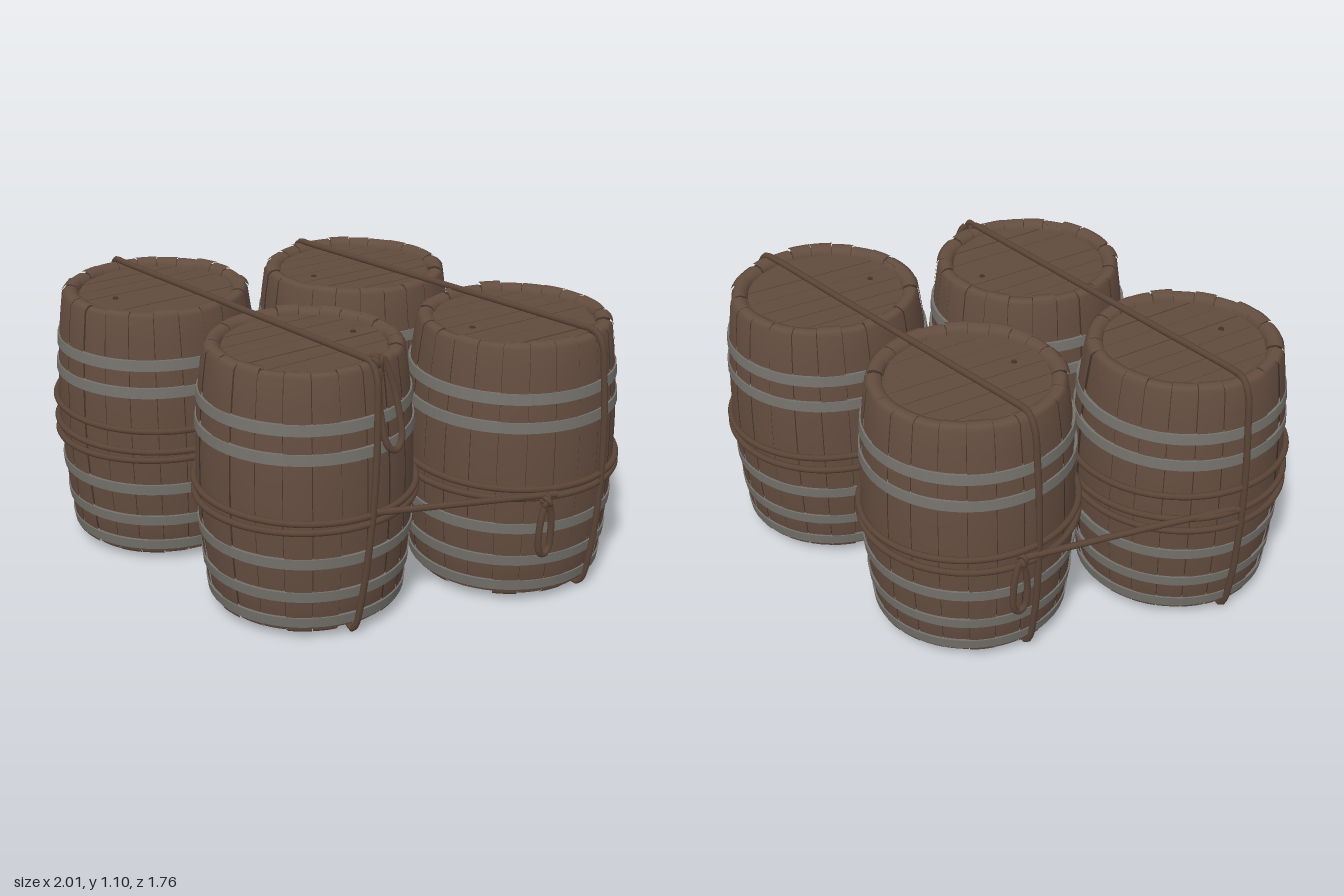
import * as THREE from 'three';
import { mergeGeometries } from 'three/addons/utils/BufferGeometryUtils.js';

const mat = (name, color, side = THREE.FrontSide) => {
  const m = new THREE.MeshStandardMaterial({ color, side });
  m.name = name;
  return m;
};

export function createModel() {
  const root = new THREE.Group();
  root.name = 'ropedBarrels';
  const wood = mat('wood', 0x644d40);
  const lidWood = mat('lidWood', 0x614a3d);
  const seam = mat('darkSeam', 0x42332a);
  const base = mat('darkBase', 0x45372e, THREE.DoubleSide);
  const iron = mat('iron', 0x75726c);
  const ropeMat = mat('rope', 0x5a4437);

  let seed = 7;
  const rnd = () => (seed = (seed * 16807) % 2147483647) / 2147483647;
  const V = (x, y, z) => new THREE.Vector3(x, y, z);
  const add = (parent, name, geo, m) => {
    const mesh = new THREE.Mesh(geo, m);
    mesh.name = name;
    parent.add(mesh);
  };
  // Bulging barrel radius at height y
  const radius = (y) => 0.368 + 0.042 * (1 - ((y - 0.55) / 0.52) ** 2);
  const lathe = (pts, seg, start = 0, len = Math.PI * 2) =>
    new THREE.LatheGeometry(pts.map((p) => new THREE.Vector2(p[0], p[1])), seg, start, len);

  // Ring of separate staves, each slightly uneven in radius and length
  function staves() {
    const n = 24, parts = [];
    for (let i = 0; i < n; i++) {
      const dr = (rnd() - 0.5) * 0.008, lo = 0.03 + rnd() * 0.01, hi = 1.062 + rnd() * 0.012;
      const pts = [[0.3, 0.075], [0.307, lo + 0.012], [0.325, lo], [0.352 + dr, lo]];
      for (let k = 0; k <= 10; k++) {
        const y = 0.05 + k * 0.1;
        pts.push([radius(y) + dr, y]);
      }
      pts.push([0.356 + dr, hi - 0.004], [0.338, hi], [0.315, hi - 0.008], [0.305, hi - 0.03], [0.303, 1.015]);
      const step = (Math.PI * 2) / n, gap = 0.004 + rnd() * 0.006;
      parts.push(lathe(pts, 3, i * step + gap / 2, step - gap));
    }
    return mergeGeometries(parts);
  }

  // Lid boards cut to a circle
  function lidBoards() {
    const R = 0.312, n = 7, w = (2 * R) / n, parts = [];
    for (let i = 0; i < n; i++) {
      const a = -R + i * w + 0.002, b = -R + (i + 1) * w - 0.002;
      const shape = new THREE.Shape();
      for (let k = 0; k <= 5; k++) {
        const x = a + ((b - a) * k) / 5, h = Math.sqrt(R * R - x * x);
        k ? shape.lineTo(x, -h) : shape.moveTo(x, -h);
      }
      for (let k = 5; k >= 0; k--) {
        const x = a + ((b - a) * k) / 5;
        shape.lineTo(x, Math.sqrt(R * R - x * x));
      }
      const g = new THREE.ExtrudeGeometry(shape, { depth: 0.015, bevelEnabled: false });
      g.rotateX(-Math.PI / 2);
      g.translate(0, 1.022 + rnd() * 0.004, 0);
      parts.push(g);
    }
    return mergeGeometries(parts);
  }

  function barrel(name, [x, z], turn, bungZ) {
    const g = new THREE.Group();
    g.name = name;
    g.position.set(x, 0, z);
    g.rotation.y = turn;
    root.add(g);
    add(g, 'staves', staves(), wood);
    // Darker core seen through the seams
    const core = [[0.3, 0.066], [0.325, 0.045]];
    for (let k = 0; k <= 10; k++) core.push([radius(0.05 + k * 0.1) - 0.007, 0.05 + k * 0.1]);
    core.push([0.345, 1.06], [0.32, 1.056], [0.311, 1.04], [0.309, 1.018], [0, 1.018]);
    add(g, 'core', lathe(core, 48), seam);
    add(g, 'lidBoards', lidBoards(), lidWood);
    const disc = new THREE.CircleGeometry(0.315, 40);
    disc.rotateX(Math.PI / 2);
    disc.translate(0, 0.06, 0);
    add(g, 'bottom', disc, base);
    const bung = new THREE.CylinderGeometry(0.01, 0.012, 0.006, 10);
    bung.translate(0, 1.042, bungZ);
    add(g, 'bung', bung, seam);
    // Iron hoops follow the bulge
    for (const y of [0.085, 0.2, 0.343, 0.758, 0.868]) {
      const a = y - 0.021, b = y + 0.021, o = 0.008;
      const hoop = [[[radius(a) - 0.008, a], [radius(a) + o, a]], [[radius(a) + o, a], [radius(b) + o, b]],
        [[radius(b) + o, b], [radius(b) - 0.008, b]]];
      add(g, 'hoop', mergeGeometries(hoop.map((face) => lathe(face, 48))), iron);
    }
  }

  const A = [-0.28, -0.36], B = [0.57, -0.45], C = [-0.565, 0.44], D = [0.285, 0.345];
  barrel('backRightBarrel', A, -0.1, 0.2);
  barrel('backLeftBarrel', B, -0.1, 0.2);
  barrel('frontRightBarrel', C, -0.07, 0.18);
  barrel('frontLeftBarrel', D, -0.07, -0.22);

  const ropes = new THREE.Group();
  ropes.name = 'ropes';
  root.add(ropes);
  const rope = (name, pts, closed = false) =>
    add(ropes, name, new THREE.TubeGeometry(
      new THREE.CatmullRomCurve3(pts, closed, 'centripetal'), pts.length * 6, 0.013, 8, closed), ropeMat);

  // Rope over two lids, down both outer sides and hooked under the rims
  function overRope(name, p, angP, q, angQ, leanQ) {
    const side = ([cx, cz], ang, lean) => {
      const at = (r, y) => {
        const a = ang + lean * (1.07 - y);
        return V(cx + Math.cos(a) * r, y, cz + Math.sin(a) * r);
      };
      const pts = [at(0.17, 0.055), at(0.3, 0.035), at(0.352, 0.016), at(0.376, 0.04)];
      for (const y of [0.2, 0.35, 0.55, 0.75, 0.9, 1.02]) pts.push(at(radius(y) + 0.017, y));
      pts.push(at(0.366, 1.065), at(0.345, 1.077), at(0.31, 1.078));
      return pts;
    };
    const left = side(p, angP, 0), right = side(q, angQ, leanQ).reverse();
    // Extra points keep the long span straight and smooth
    const span = [0.25, 0.5, 0.75].map((t) => left[left.length - 1].clone().lerp(right[0], t));
    rope(name, [...left, ...span, ...right]);
  }
  overRope('frontOverRope', C, Math.PI + 0.1, D, -0.06, 0.2);
  overRope('backOverRope', A, Math.PI - 0.03, B, -0.2, 0);

  // Turns of rope around each barrel
  function turn([cx, cz], y, tilt, phase) {
    const pts = [];
    for (let i = 0; i < 24; i++) {
      const a = (i / 24) * Math.PI * 2;
      pts.push(V(cx + Math.cos(a) * 0.421, y + tilt * Math.cos(a - phase), cz + Math.sin(a) * 0.421));
    }
    rope('waistRope', pts, true);
  }
  for (const c of [A, B, C, D]) {
    turn(c, 0.473, 0.006, 0.4);
    turn(c, 0.52, 0.01, 2.8);
  }
  turn(C, 0.615, 0.016, Math.PI);

  // Straight strands joining front and back pairs
  rope('rightLinkRope', [V(-0.69, 0.49, -0.42), V(-0.83, 0.515, -0.03), V(-0.98, 0.54, 0.37)]);
  rope('leftLinkRope', [V(0.72, 0.525, 0.36), V(0.85, 0.51, 0.03), V(0.98, 0.495, -0.3)]);

  // Slack hanging loops with a small knot
  function loop(name, x, z, top, bottom, w, lean) {
    const pts = [[0, 1], [0.7, 0.75], [1, 0.35], [0.7, 0.06], [0, 0], [-0.7, 0.08], [-0.9, 0.4], [-0.6, 0.78]];
    rope(name, pts.map(([u, t]) => V(x + lean * t, bottom + (top - bottom) * t, z + u * w)), true);
  }
  const knot = (x, y, z) => {
    const k = new THREE.TorusKnotGeometry(0.016, 0.01, 40, 7, 2, 3);
    k.translate(x, y, z);
    add(ropes, 'knot', k, ropeMat);
  };
  loop('backLeftLoop', 0.97, -0.26, 0.48, 0.25, 0.034, 0.005);
  knot(0.975, 0.48, -0.25);
  loop('backRightLoop', -0.7, -0.43, 0.49, 0.25, 0.034, -0.005);
  knot(-0.7, 0.49, -0.42);
  loop('frontLeftLoop', 0.725, 0.275, 1.08, 0.75, 0.045, -0.085);
  knot(0.64, 1.07, 0.31);
  return root;
}
